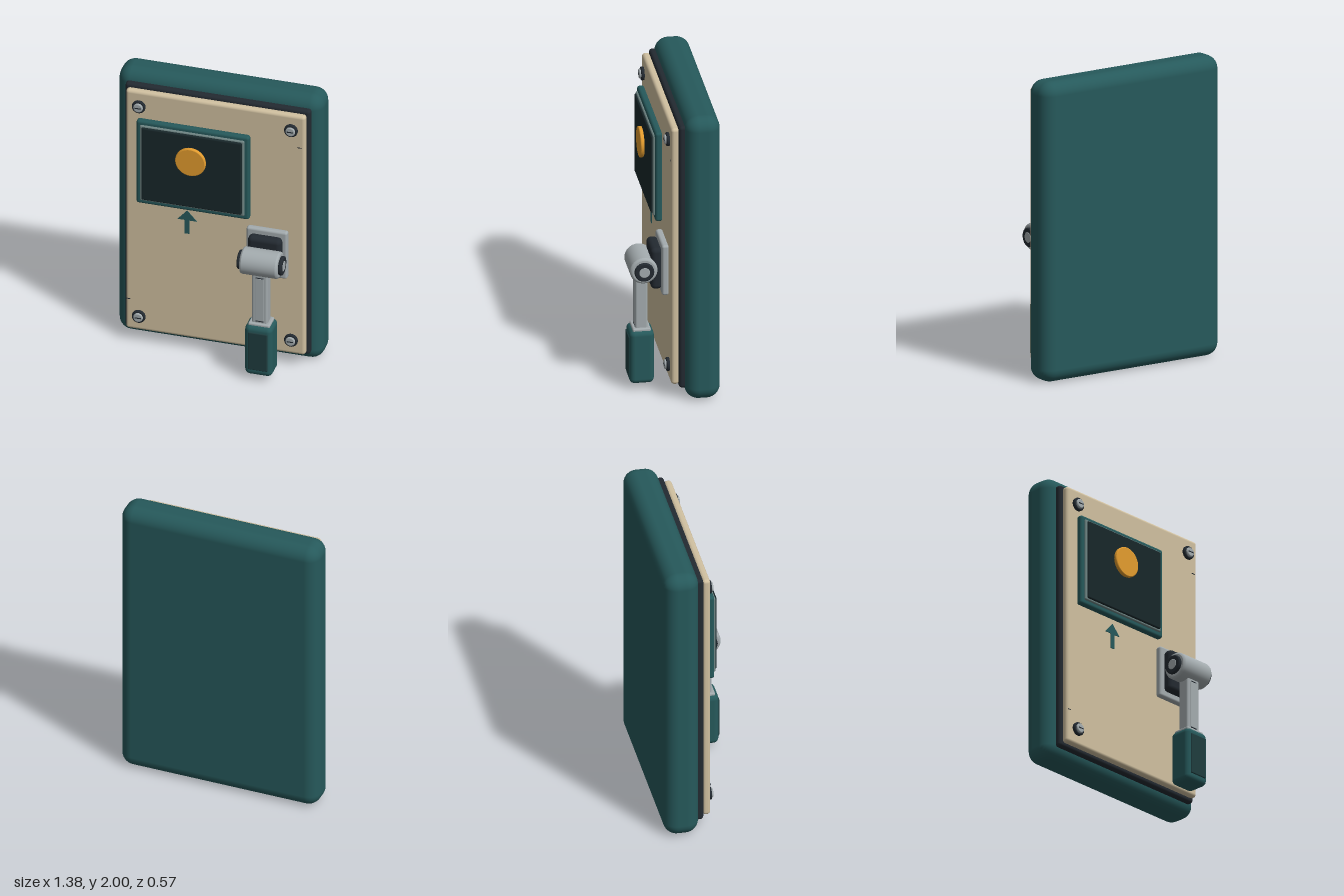
import * as THREE from 'three';
import { RoundedBoxGeometry } from 'three/addons/geometries/RoundedBoxGeometry.js';

const mat = (color) => new THREE.MeshStandardMaterial({ color });
const teal = mat(0x26595b), dark = mat(0x232a31), beige = mat(0xd0c0a0), glass = mat(0x18272a);
const steel = mat(0xa3abae), trim = mat(0x6f8584), amber = mat(0xe39c2e), grip = mat(0x1f3c3e);

function add(parent, name, geometry, material) {
  const mesh = new THREE.Mesh(geometry, material);
  mesh.name = name;
  parent.add(mesh);
  return mesh;
}

// Rounded block given by its extents on each axis
function block(parent, name, [x0, x1], [y0, y1], [z0, z1], radius, material, segments = 3) {
  const geometry = new RoundedBoxGeometry(x1 - x0, y1 - y0, z1 - z0, segments, radius);
  const mesh = add(parent, name, geometry, material);
  mesh.position.set((x0 + x1) / 2, (y0 + y1) / 2, (z0 + z1) / 2);
  return mesh;
}

// Disc with bevelled rims, its axis along y
function disc(radius, length, bevel, sides = 40) {
  const h = length / 2, b = bevel, k = bevel * 0.3;
  const points = [
    [0, -h], [radius - b, -h], [radius - b, -h], [radius - k, -h + k], [radius, -h + b], [radius, -h + b],
    [radius, h - b], [radius, h - b], [radius - k, h - k], [radius - b, h], [radius - b, h], [0, h],
  ].map(([x, y]) => new THREE.Vector2(x, y));
  return new THREE.LatheGeometry(points, sides);
}

const facing = (geometry) => geometry.rotateX(Math.PI / 2);
const sideways = (geometry) => geometry.rotateZ(-Math.PI / 2);

function createScrew(x, y) {
  const screw = new THREE.Group();
  screw.name = 'screw';
  add(screw, 'screwWasher', facing(disc(0.045, 0.024, 0.006, 28)), dark).position.z = 0.04;
  add(screw, 'screwHead', facing(disc(0.032, 0.034, 0.006, 28)), steel).position.z = 0.047;
  add(screw, 'screwSlot', new THREE.BoxGeometry(0.042, 0.007, 0.004), dark).position.z = 0.064;
  screw.position.set(x, y, 0);
  return screw;
}

function createDisplay() {
  const display = new THREE.Group();
  display.name = 'display';
  block(display, 'displayBezel', [-0.52, 0.24], [1.09, 1.72], [0.028, 0.076], 0.018, teal);
  block(display, 'displayTrim', [-0.493, 0.211], [1.122, 1.692], [0.06, 0.088], 0.01, trim);
  block(display, 'displayScreen', [-0.478, 0.195], [1.135, 1.682], [0.07, 0.1], 0.01, glass);
  const lamp = add(display, 'warningLamp', facing(disc(0.102, 0.026, 0.006, 48)), amber);
  lamp.position.set(-0.142, 1.492, 0.113);
  return display;
}

function createArrow() {
  const shape = new THREE.Shape();
  shape.moveTo(0, 1.065);
  for (const [x, y] of [[-0.065, 0.992], [-0.016, 0.992], [-0.016, 0.89], [0.016, 0.89], [0.016, 0.992], [0.065, 0.992]]) {
    shape.lineTo(x, y);
  }
  shape.closePath();
  const geometry = new THREE.ExtrudeGeometry(shape, { depth: 0.006, bevelEnabled: false });
  const arrow = new THREE.Mesh(geometry, teal);
  arrow.name = 'directionArrow';
  arrow.position.set(-0.188, 0, 0.029);
  return arrow;
}

function createLever() {
  const lever = new THREE.Group();
  lever.name = 'lever';
  // Mount on the panel
  block(lever, 'mountPlate', [0.22, 0.495], [0.682, 1.036], [0.028, 0.074], 0.016, steel);
  block(lever, 'mountBlock', [0.245, 0.469], [0.715, 1.005], [0.066, 0.14], 0.03, dark);

  // Pivot barrel with a capped axle at each end
  const pivot = new THREE.Group();
  pivot.name = 'pivot';
  pivot.position.set(0.357, 0.86, 0.19);
  lever.add(pivot);
  add(pivot, 'pivotBarrel', sideways(disc(0.09, 0.256, 0.014, 48)), steel);
  for (const side of [-1, 1]) {
    add(pivot, 'pivotCap', sideways(disc(0.064, 0.024, 0.007)), dark).position.x = side * 0.139;
    add(pivot, 'axleNeck', sideways(disc(0.05, 0.02, 0.002)), dark).position.x = side * 0.125;
    add(pivot, 'axlePin', sideways(disc(0.036, 0.012, 0.004)), steel).position.x = side * 0.147;
  }

  // Arm with a raised front strip
  block(lever, 'arm', [0.304, 0.41], [0.4, 0.82], [0.154, 0.236], 0.014, steel);
  block(lever, 'armStrip', [0.33, 0.385], [0.442, 0.765], [0.228, 0.239], 0.004, steel);
  for (const y of [0.44, 0.767]) {
    block(lever, 'armGroove', [0.331, 0.384], [y - 0.003, y + 0.003], [0.228, 0.239], 0.001, dark, 1);
  }
  block(lever, 'armCollar', [0.285, 0.43], [0.39, 0.428], [0.135, 0.254], 0.01, steel);

  // Hand grip with a dark front pad
  block(lever, 'grip', [0.265, 0.45], [0.043, 0.415], [0.115, 0.276], 0.035, teal);
  block(lever, 'gripPad', [0.292, 0.422], [0.09, 0.372], [0.262, 0.282], 0.006, grip);
  return lever;
}

export function createModel() {
  const model = new THREE.Group();
  model.name = 'leverControlPanel';

  // Housing layers, back to front
  block(model, 'housing', [-0.69, 0.69], [0, 2], [-0.284, -0.054], 0.088, teal, 4);
  block(model, 'gasket', [-0.622, 0.622], [0.075, 1.93], [-0.075, -0.018], 0.02, dark);
  block(model, 'facePlate', [-0.604, 0.604], [0.095, 1.912], [-0.022, 0.031], 0.022, beige);

  model.add(createDisplay(), createArrow(), createLever());
  for (const x of [-0.512, 0.512]) {
    for (const y of [0.205, 1.803]) model.add(createScrew(x, y));
  }

  // Small wear marks on the face plate
  for (const [x, y] of [[0.566, 1.675], [-0.585, 0.324]]) {
    add(model, 'wearMark', new THREE.BoxGeometry(0.028, 0.005, 0.004), dark).position.set(x, y, 0.031);
  }
  return model;
}
